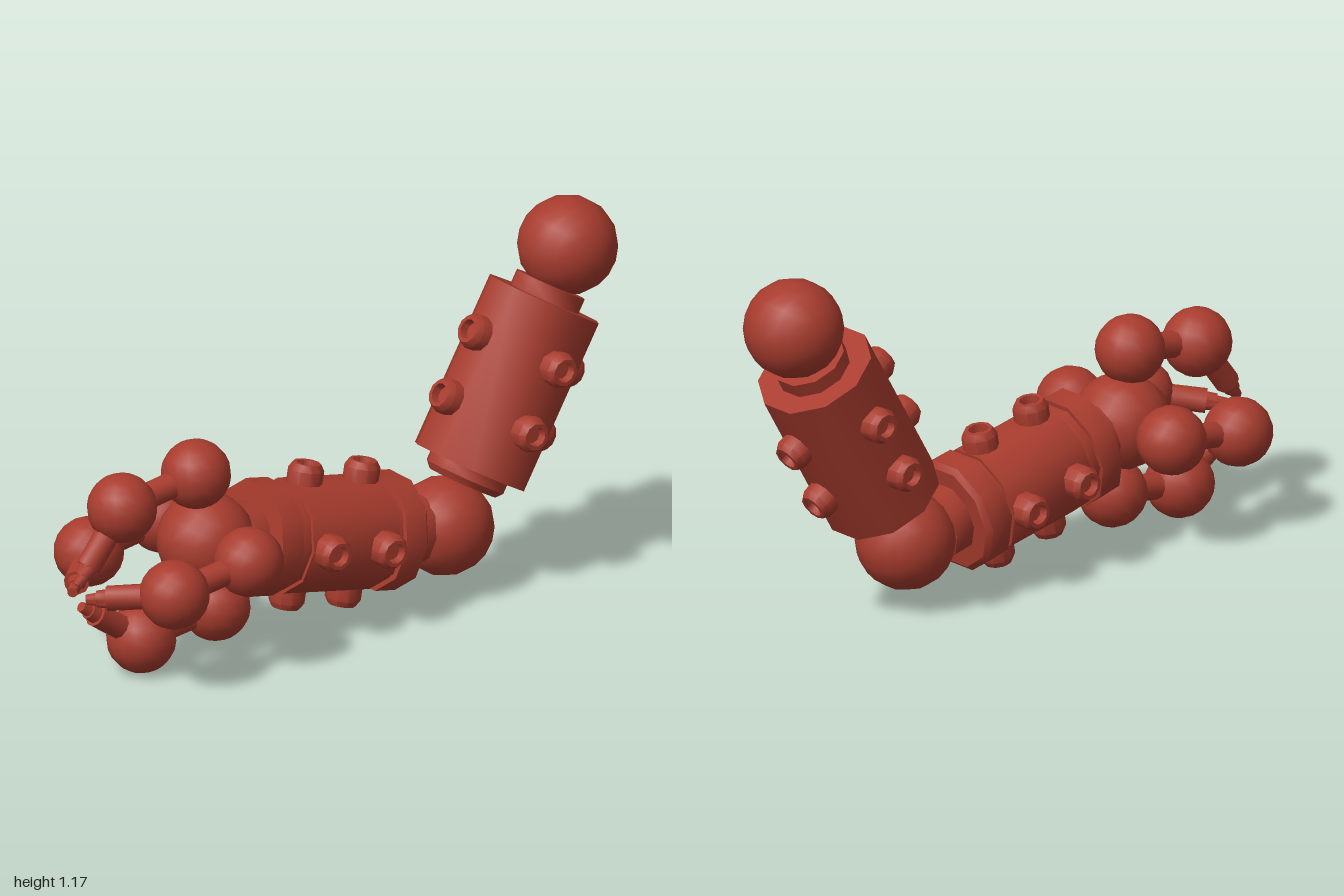
import * as THREE from 'three';
import { toCreasedNormals } from 'three/addons/utils/BufferGeometryUtils.js';

const material = new THREE.MeshStandardMaterial({ color: 0xa83c2e });

function add(parent, name, geometry) {
  const mesh = new THREE.Mesh(geometry, material);
  mesh.name = name;
  parent.add(mesh);
  return mesh;
}

// Turned part around y, profile given as [radius, height] from bottom to top
function turned(profile, sides) {
  const points = profile.map(([r, y]) => new THREE.Vector2(r, y));
  return toCreasedNormals(new THREE.LatheGeometry(points, sides, Math.PI / 2), 0.68);
}

function ball(parent, name, radius, x, y, z) {
  const geometry = new THREE.SphereGeometry(radius, 16, 11).rotateZ(Math.PI / 2);
  add(parent, name, geometry).position.set(x, y, z);
}

// Group whose y axis is tilted in the yz plane
function limb(parent, name, y, z, tilt) {
  const group = new THREE.Group();
  group.name = name;
  group.position.set(0, y, z);
  group.rotation.x = tilt;
  parent.add(group);
  return group;
}

// Straight rod between two points [x, y] of a finger
function rod(parent, name, from, to, r0, r1 = r0) {
  const a = new THREE.Vector3(...from, 0);
  const d = new THREE.Vector3(...to, 0).sub(a);
  const geometry = new THREE.CylinderGeometry(r1, r0, d.length(), 10);
  const mesh = add(parent, name, toCreasedNormals(geometry, 0.68));
  mesh.position.copy(a).addScaledVector(d, 0.5);
  mesh.quaternion.setFromUnitVectors(new THREE.Vector3(0, 1, 0), d.normalize());
}

// Hollow studs, two rows on four sides
const studShape = turned([[0.055, -0.03], [0.055, 0.03], [0.043, 0.05],
  [0.031, 0.05], [0.027, 0.025], [0, 0.025]], 10);
function addStuds(parent, radius) {
  for (let side = 0; side < 4; side++) {
    const pivot = new THREE.Group();
    pivot.name = 'studPair';
    pivot.rotation.y = side * Math.PI / 2;
    parent.add(pivot);
    for (const y of [-0.106, 0.106]) {
      const stud = add(pivot, 'stud', studShape);
      stud.rotation.z = -Math.PI / 2;
      stud.position.set(radius, y, 0);
    }
  }
}

export function createModel() {
  const arm = new THREE.Group();
  arm.name = 'mechanicalArm';

  // Large joints
  ball(arm, 'shoulderJoint', 0.153, 0, 1.025, -0.845);
  ball(arm, 'elbowJoint', 0.153, 0, 0.222, -0.387);

  // Upper arm with a collar at each end
  const upper = limb(arm, 'upperArm', 0.63, -0.62, -0.525);
  add(upper, 'upperArmBody', turned([[0, -0.33], [0.112, -0.33], [0.13, -0.31], [0.13, -0.277],
    [0.185, -0.277], [0.185, 0.277], [0.115, 0.277], [0.115, 0.325], [0, 0.325]], 10));
  addStuds(upper, 0.18);

  // Forearm with grooved flanges and necks
  const fore = limb(arm, 'forearm', 0.297, 0.056, Math.PI / 2 - 0.178);
  add(fore, 'forearmBody', turned([[0, -0.34], [0.112, -0.34], [0.112, -0.27], [0.165, -0.27],
    [0.182, -0.255], [0.182, -0.18], [0.164, -0.18], [0.164, -0.16], [0.175, -0.16], [0.175, 0.166],
    [0.164, 0.166], [0.164, 0.205], [0.179, 0.205], [0.179, 0.285], [0.112, 0.285],
    [0.112, 0.34], [0, 0.34]], 10));
  addStuds(fore, 0.178);

  // Hand: palm ball and four fingers around its axis
  const hand = limb(arm, 'hand', 0.376, 0.496, Math.PI / 2 + 0.162);
  ball(hand, 'palmJoint', 0.15, 0, 0, 0);
  for (let i = 0; i < 4; i++) {
    const finger = new THREE.Group();
    finger.name = 'finger';
    finger.rotation.y = i * Math.PI / 2;
    hand.add(finger);
    ball(finger, 'knuckle', 0.107, 0.224, 0, 0);
    ball(finger, 'fingerJoint', 0.107, 0.221, 0.278, 0);
    rod(finger, 'fingerLink', [0.224, 0], [0.221, 0.278], 0.041);
    rod(finger, 'fingertip', [0.221, 0.278], [0.08, 0.427], 0.039);
    rod(finger, 'fingertipCollar', [0.08, 0.427], [0.058, 0.45], 0.029, 0.026);
    rod(finger, 'fingertipPoint', [0.058, 0.45], [0.036, 0.474], 0.02, 0.016);
  }
  return arm;
}
